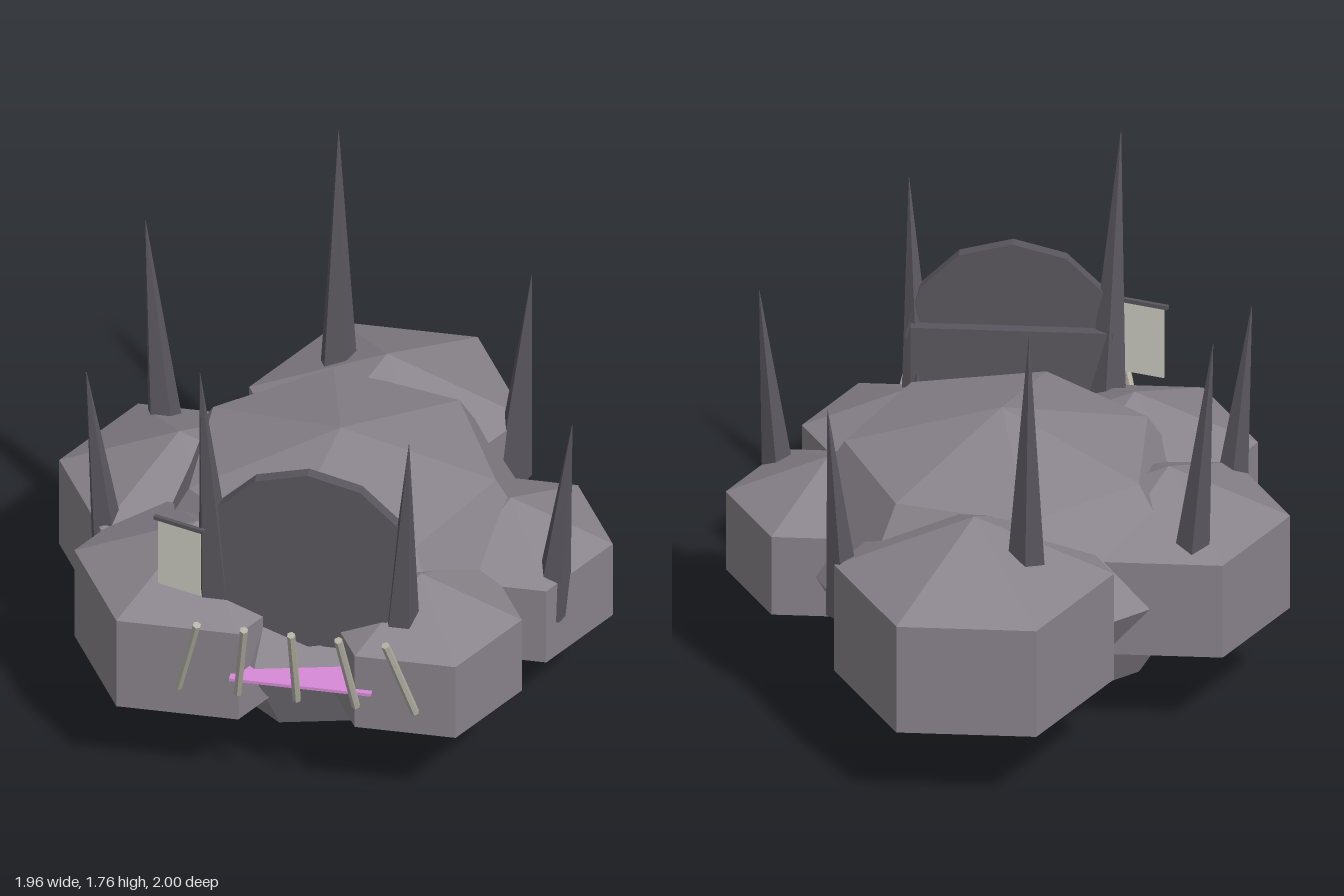
import * as THREE from 'three';

export function createModel() {
  const group = new THREE.Group();
  const mat = (name, color) => {
    const m = new THREE.MeshStandardMaterial({ color });
    m.name = name;
    return m;
  };
  const stone = mat('stone', 0x88828a);
  const darkStone = mat('darkStone', 0x5a565e);
  const bone = mat('bone', 0xb4b2a4);
  const cloth = mat('cloth', 0xd0cfc4);
  const pink = mat('pink', 0xd68ad6);

  // faceted mesh helper
  const add = (name, geo, material, x = 0, y = 0, z = 0) => {
    const g = geo.index ? geo.toNonIndexed() : geo;
    g.computeVertexNormals();
    const mesh = new THREE.Mesh(g, material);
    mesh.name = name;
    mesh.position.set(x, y, z);
    group.add(mesh);
    return mesh;
  };

  // tapered or straight rod from point a to point b
  const up = new THREE.Vector3(0, 1, 0);
  const rod = (name, a, b, rBottom, rTop, sides, material) => {
    const p = new THREE.Vector3(...a), q = new THREE.Vector3(...b);
    const d = q.clone().sub(p);
    const geo = new THREE.CylinderGeometry(rTop, rBottom, d.length(), sides).rotateY(Math.PI);
    const mesh = add(name, geo, material);
    mesh.position.copy(p).add(q).multiplyScalar(0.5);
    mesh.quaternion.setFromUnitVectors(up, d.normalize());
  };

  // central rock
  const midY = 0.525;
  add('coreRock', new THREE.SphereGeometry(0.768, 7, 4).rotateY(Math.PI).scale(1, 0.684, 1),
    stone, 0.022, midY, 0);

  // surrounding boulders: x, z, radius
  [
    [-0.56, -0.09, 0.485],
    [-0.41, 0.41, 0.493],
    [0.39, 0.485, 0.408],
    [0.62, 0.005, 0.41],
    [0.08, -0.58, 0.558],
  ].forEach(([x, z, r], i) => {
    add('boulder' + (i + 1), new THREE.SphereGeometry(r, 6, 3).scale(1, 0.75, 1), stone, x, midY, z);
  });

  // spikes leaning outward: tip x, y, z and base radius
  [
    [-0.12, 1.76, -0.745, 0.088],
    [-0.345, 1.76, 0.70, 0.088],
    [0.387, 1.55, 0.70, 0.078],
    [-0.733, 1.55, -0.394, 0.078],
    [0.586, 1.35, -0.582, 0.07],
    [0.874, 1.35, 0.232, 0.07],
    [-0.827, 1.35, 0.232, 0.07],
  ].forEach(([x, y, z, r], i) => {
    const k = 1 - 0.1 * (y - 0.52) / Math.hypot(x, z);
    rod('spike' + (i + 1), [x * k, 0.52, z * k], [x, y, z], r, 0.001, 5, darkStone);
  });

  // round gate with a block behind it
  add('gateDisc', new THREE.CylinderGeometry(0.37, 0.37, 0.042, 12).rotateX(Math.PI / 2),
    darkStone, 0.025, 0.97, 0.645);
  add('gateBlock', new THREE.BoxGeometry(0.7, 0.42, 0.07), darkStone, 0.025, 0.81, 0.62);

  // hanging banner with its crossbar
  const banner = add('banner', new THREE.BoxGeometry(0.163, 0.275, 0.006), cloth, -0.418, 0.945, 0.69);
  const bar = add('bannerBar', new THREE.BoxGeometry(0.193, 0.015, 0.014), darkStone, -0.418, 1.088, 0.69);
  banner.rotation.y = bar.rotation.y = -0.29;

  // pink threshold
  add('threshold', new THREE.BoxGeometry(0.497, 0.012, 0.3), pink, 0.025, 0.531, 0.66);

  // fan of tusks in front
  for (let i = -2; i <= 2; i++) {
    rod('tusk' + (i + 3), [0.025 + i * 0.207, 0.527, 0.873], [0.025 + i * 0.165, 0.887, 0.983],
      0.015, 0.015, 6, bone);
  }

  return group;
}
